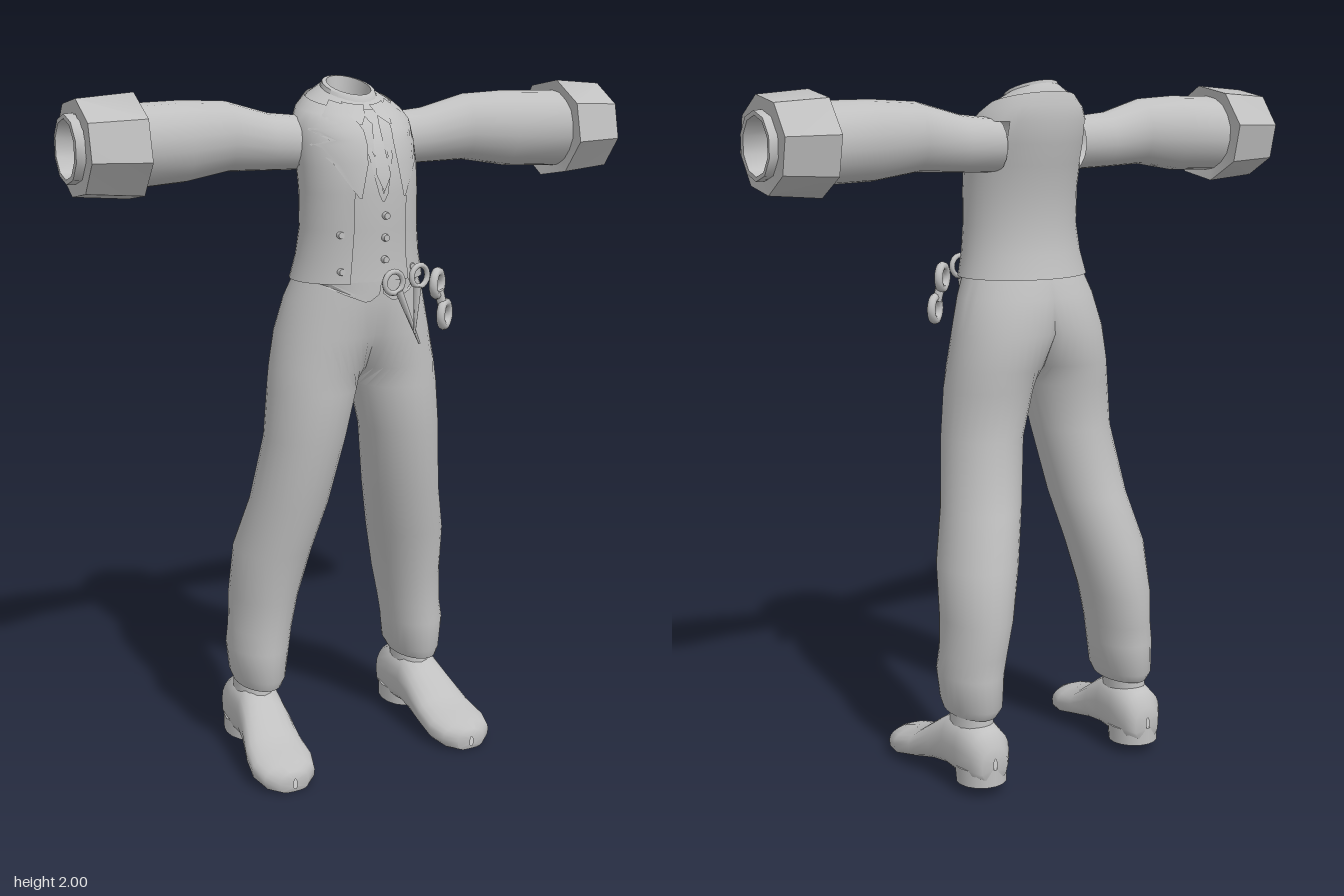
import * as THREE from 'three';
import { mergeVertices, toCreasedNormals } from 'three/addons/utils/BufferGeometryUtils.js';

const cloth = new THREE.MeshStandardMaterial({ color: 0xc0c0c0, side: THREE.DoubleSide });
cloth.name = 'plain grey';
const V = (x, y, z) => new THREE.Vector3(x, y, z);

function mesh(name, geo, parent) {
  const m = new THREE.Mesh(geo, cloth);
  m.name = name;
  parent.add(m);
  return m;
}

// Skin over a list of equal-length point rows; skip(centre) leaves holes
function loft(rows, { skip = () => false, crease = 0.9 } = {}) {
  const n = rows[0].length, index = [];
  for (let i = 0; i + 1 < rows.length; i++) {
    for (let j = 0; j + 1 < n; j++) {
      const a = i * n + j, b = a + 1, c = a + n, d = c + 1;
      const mid = rows[i][j].clone().add(rows[i + 1][j + 1]).multiplyScalar(0.5);
      if (!skip(mid)) index.push(a, c, b, b, c, d);
    }
  }
  let g = new THREE.BufferGeometry().setFromPoints(rows.flat());
  g.setIndex(index);
  g = mergeVertices(g, 1e-4);
  g.computeVertexNormals();
  return toCreasedNormals(g, crease);
}

// Horizontal elliptical arc, angles measured from +x towards +z
function arc(y, c, rx, zf, zb, a0 = 0, a1 = Math.PI * 2, n = 32) {
  return Array.from({ length: n + 1 }, (_, i) => {
    const a = a0 + (a1 - a0) * i / n;
    return V(c + rx * Math.cos(a), y, (zf + zb) / 2 + (zf - zb) / 2 * Math.sin(a));
  });
}

// Ring around the arm axis
function armRing([x, yc, zc, ry, rz], n, turn = 0) {
  return Array.from({ length: n + 1 }, (_, i) => {
    const a = turn + i / n * Math.PI * 2;
    return V(x, yc + ry * Math.cos(a), zc + rz * Math.sin(a));
  });
}

// Torso sections: height, half width, front z, back z
const TORSO = [
  [1.455, 0.188, 0.195, -0.11], [1.52, 0.173, 0.192, -0.092], [1.6, 0.163, 0.195, -0.082],
  [1.7, 0.162, 0.2, -0.09], [1.77, 0.163, 0.195, -0.105], [1.83, 0.164, 0.176, -0.12],
  [1.89, 0.16, 0.148, -0.13], [1.925, 0.145, 0.122, -0.125], [1.955, 0.115, 0.1, -0.115],
  [1.98, 0.075, 0.085, -0.095],
];

// Neckline slopes down towards the front
function lean(v) {
  const t = THREE.MathUtils.clamp((v.y - 1.88) / 0.1, 0, 1);
  v.y -= t * 0.3 * (v.z + 0.05);
  return v;
}

// Point on the chest at (x, y), lifted by off
function chest(x, y, off) {
  let i = 0;
  while (i < TORSO.length - 2 && y > TORSO[i + 1][0]) i++;
  const A = TORSO[i], B = TORSO[i + 1];
  const t = THREE.MathUtils.clamp((y - A[0]) / (B[0] - A[0]), 0, 1);
  const [rx, zf, zb] = [1, 2, 3].map(k => A[k] + (B[k] - A[k]) * t);
  const s = Math.sqrt(Math.max(0.06, 1 - (x / rx) ** 2));
  return lean(V(x, y, (zf + zb) / 2 + (zf - zb) / 2 * s + off));
}

// Thin piece following the chest; rows are [y, x from, x to]
function patch(rows, off) {
  return loft(rows.map(([y, x0, x1]) =>
    Array.from({ length: 7 }, (_, i) => chest(x1 + (x0 - x1) * i / 6, y, off))));
}

function torso(root) {
  const armhole = p => Math.abs(p.x) > 0.1 && p.y > 1.77 && p.y < 1.89 && Math.abs(p.z + 0.02) < 0.055;
  mesh('waistcoat', loft(TORSO.map(([y, rx, f, b]) => arc(y, 0, rx, f, b).map(lean)), { skip: armhole }), root);
  // Jacket shell, open at the front
  const open = 0.48, o = 0.007;
  mesh('jacket', loft(TORSO.slice(0, 9).map(([y, rx, f, b]) =>
    arc(y, 0, rx + o, f + o, b - o, Math.PI / 2 + open, Math.PI * 2.5 - open).map(lean)), { skip: armhole }), root);
  // Shirt collar standing around the neck
  mesh('shirtCollar', loft([[1.96, 0.08, 0.09, -0.1], [1.99, 0.07, 0.085, -0.09],
    [1.993, 0.058, 0.075, -0.078], [1.93, 0.055, 0.07, -0.07]]
    .map(([y, rx, f, b]) => arc(y, 0, rx, f, b, 0, Math.PI * 2, 20).map(lean))), root);
  mesh('tie', patch([[1.71, -0.002, 0.002], [1.75, -0.022, 0.022], [1.895, -0.011, 0.011],
    [1.9, -0.014, 0.014], [1.945, -0.024, 0.024], [1.955, -0.015, 0.015]], 0.012), root);
  for (const [x, y] of [[0.01, 1.64], [0.01, 1.58], [0.01, 1.52], [-0.11, 1.59], [-0.11, 1.49], [0.11, 1.49]]) {
    const b = mesh('button', new THREE.CylinderGeometry(0.009, 0.011, 0.012, 10), root);
    b.rotation.x = Math.PI / 2;
    b.position.copy(chest(x, y, 0.008));
  }
}

// Everything that is the same on both sides
function side(root, s) {
  const g = new THREE.Group();
  g.name = s > 0 ? 'leftSide' : 'rightSide';
  g.scale.x = s;
  root.add(g);

  mesh('lapel', patch([[1.69, 0.064, 0.07], [1.78, 0.045, 0.125], [1.83, 0.04, 0.162], [1.842, 0.04, 0.125],
    [1.868, 0.042, 0.16], [1.93, 0.05, 0.118], [1.97, 0.055, 0.085]], 0.016), g);
  mesh('waistcoatNeckline', patch([[1.68, 0, 0.004], [1.7, 0, 0.014], [1.8, 0.02, 0.036], [1.93, 0.036, 0.055]], 0.007), g);
  mesh('collarPoint', patch([[1.885, 0.042, 0.048], [1.93, 0.02, 0.06], [1.975, 0.008, 0.062]], 0.016), g);
  mesh('waistcoatHem', patch([[1.405, 0.035, 0.05], [1.425, 0.006, 0.1], [1.46, 0, 0.17]], 0.003), g);

  // Sleeve, open tube with a deep turned-back cuff and shirt cuff
  mesh('sleeve', loft([[0.13, 1.825, -0.02, 0.074, 0.07], [0.24, 1.832, -0.018, 0.078, 0.072],
    [0.37, 1.852, -0.005, 0.094, 0.08], [0.5, 1.845, 0.008, 0.108, 0.095], [0.66, 1.84, 0.03, 0.11, 0.115]]
    .map(r => armRing(r, 18))), g);
  mesh('cuff', loft([[0.66, 1.84, 0.03, 0.1, 0.105], [0.65, 1.84, 0.028, 0.143, 0.168],
    [0.802, 1.84, 0.022, 0.13, 0.147], [0.8, 1.84, 0.022, 0.09, 0.095]]
    .map(r => armRing(r, 8, 0.2)), { crease: 0.7 }), g);
  mesh('shirtCuff', loft([[0.77, 1.84, 0.02, 0.092, 0.1], [0.824, 1.838, 0.018, 0.09, 0.095],
    [0.824, 1.838, 0.015, 0.078, 0.08], [0.68, 1.838, 0.008, 0.072, 0.068]]
    .map(r => armRing(r, 10)), { crease: 0.7 }), g);

  // Trouser leg: height, centre x, half width, front z, back z; cut at x = 0 above the crotch
  const leg = [
    [0.25, 0.27, 0.04, -0.03, -0.16], [0.222, 0.267, 0.064, 0.018, -0.198], [0.25, 0.265, 0.076, 0.03, -0.217],
    [0.34, 0.264, 0.09, 0.03, -0.208], [0.4, 0.255, 0.09, 0.03, -0.212], [0.5, 0.243, 0.098, 0.04, -0.22],
    [0.65, 0.222, 0.113, 0.07, -0.197], [0.8, 0.185, 0.112, 0.108, -0.155], [1.0, 0.153, 0.118, 0.145, -0.105],
    [1.14, 0.13, 0.128, 0.157, -0.115], [1.2, 0.11, 0.14, 0.161, -0.127], [1.3, 0.06, 0.173, 0.17, -0.14],
    [1.4, 0.018, 0.19, 0.18, -0.125], [1.475, 0, 0.178, 0.183, -0.1],
  ];
  mesh('trouserLeg', loft(leg.map(([y, c, rx, f, b]) => {
    const a = Math.acos(Math.max(-1, -c / rx));
    return arc(y, c, rx, f, b, -a, a, 28);
  })), g);

  mesh('sock', loft([arc(0.15, 0.273, 0.058, -0.02, -0.19, 0, Math.PI * 2, 16),
    arc(0.27, 0.27, 0.055, -0.035, -0.18, 0, Math.PI * 2, 16)]), g);
  // Shoe sections from heel to toe: z, centre x, half width, bottom, top
  const shoe = [
    [-0.236, 0.27, 0.005, 0.08, 0.12], [-0.232, 0.27, 0.042, 0.055, 0.15], [-0.205, 0.27, 0.065, 0.05, 0.195],
    [-0.13, 0.272, 0.072, 0.045, 0.218], [-0.06, 0.275, 0.072, 0.05, 0.215], [0, 0.28, 0.078, 0.045, 0.175],
    [0.08, 0.29, 0.09, 0.028, 0.115], [0.15, 0.295, 0.096, 0.012, 0.093], [0.205, 0.297, 0.08, 0.004, 0.08],
    [0.235, 0.296, 0.045, 0.003, 0.067], [0.24, 0.296, 0.005, 0.015, 0.045],
  ];
  mesh('shoe', loft(shoe.map(([z, cx, w, lo, hi]) => Array.from({ length: 21 }, (_, i) => {
    const a = i / 20 * Math.PI * 2, q = v => Math.sign(v) * Math.abs(v) ** (Math.sin(a) < 0 ? 0.55 : 0.9);
    return V(cx + w * q(Math.cos(a)), (lo + hi) / 2 + (hi - lo) / 2 * q(Math.sin(a)), z);
  })), { crease: 1 }), g);
  const heel = mesh('heel', new THREE.CylinderGeometry(0.072, 0.07, 0.05, 16), g);
  heel.scale.z = 1.15;
  heel.rotation.x = 0.08;
  heel.position.set(0.271, 0.055, -0.157);
}

function scissors(root) {
  const g = new THREE.Group();
  g.name = 'scissors';
  root.add(g);
  const loop = (name, x, y, z, r, t, ry, sx = 1) => {
    const m = mesh(name, new THREE.TorusGeometry(r, t, 8, 16), g);
    m.position.set(x, y, z);
    m.rotation.y = ry;
    m.scale.x = sx;
  };
  loop('scissorHandle', 0.03, 1.457, 0.212, 0.03, 0.008, 0.1);
  loop('scissorHandle', 0.113, 1.468, 0.208, 0.03, 0.008, 0.25);
  // Blades cross at the pivot and hang down
  for (const [x0, y0, x1, y1, z] of [[0.045, 1.432, 0.112, 1.278, 0.214], [0.1, 1.44, 0.092, 1.31, 0.22]]) {
    const dx = x1 - x0, dy = y1 - y0, len = Math.hypot(dx, dy);
    const b = mesh('scissorBlade', new THREE.CylinderGeometry(0.011, 0.003, len, 6), g);
    b.position.set((x0 + x1) / 2, (y0 + y1) / 2, z);
    b.rotation.z = Math.atan2(dx, -dy);
  }
  // Second, thicker pair of loops beside them
  loop('clipLoop', 0.178, 1.44, 0.195, 0.033, 0.013, 0.7);
  loop('clipLoop', 0.205, 1.35, 0.192, 0.033, 0.013, 0.7);
  const link = mesh('clipLink', new THREE.CylinderGeometry(0.014, 0.014, 0.05, 8), g);
  link.position.set(0.191, 1.395, 0.194);
  link.rotation.z = 0.28;
}

export function createModel() {
  const root = new THREE.Group();
  root.name = 'suit';
  torso(root);
  side(root, 1);
  side(root, -1);
  scissors(root);
  return root;
}
